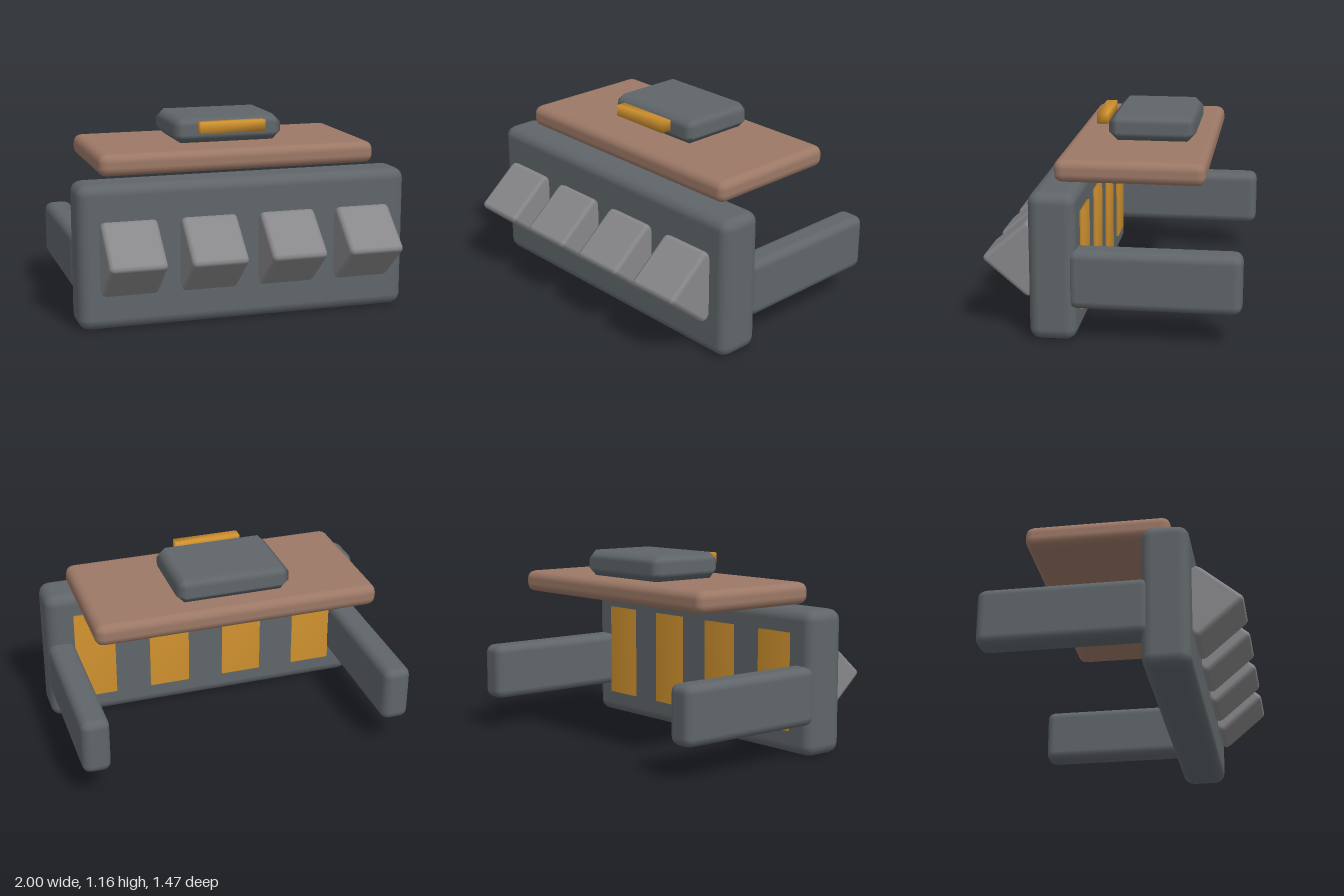
import * as THREE from 'three';
import { RoundedBoxGeometry } from 'three/addons/geometries/RoundedBoxGeometry.js';
import { mergeVertices } from 'three/addons/utils/BufferGeometryUtils.js';

const material = (name, color) => {
  const m = new THREE.MeshStandardMaterial({ color });
  m.name = name;
  return m;
};

// Box with straight chamfers: pull the rounded edges onto flat cuts.
function chamferedBox(w, h, d, r) {
  const geo = new RoundedBoxGeometry(w, h, d, 1, r);
  const p = geo.attributes.position;
  const v = new THREE.Vector3(), core = new THREE.Vector3();
  const inner = new THREE.Vector3(w / 2 - r, h / 2 - r, d / 2 - r);
  for (let i = 0; i < p.count; i++) {
    v.fromBufferAttribute(p, i);
    core.copy(v).clamp(inner.clone().negate(), inner);
    v.sub(core);
    const sum = Math.abs(v.x) + Math.abs(v.y) + Math.abs(v.z);
    if (sum > 0) v.multiplyScalar(r / sum);
    v.add(core);
    p.setXYZ(i, v.x, v.y, v.z);
  }
  return geo;
}

// Sharp box whose normals blend across its edges.
function softBox(w, h, d) {
  let geo = new THREE.BoxGeometry(w, h, d);
  geo.deleteAttribute('uv');
  geo.deleteAttribute('normal');
  geo = mergeVertices(geo);
  geo.computeVertexNormals();
  return geo;
}

export function createModel() {
  const model = new THREE.Group();
  model.name = 'model';

  const slate = material('slate', 0x5f6569);
  const steel = material('steel', 0x88888b);
  const brown = material('brown', 0x9c7866);
  const amber = material('amber', 0xd2932f);

  function add(name, geo, mat, x, y, z) {
    const mesh = new THREE.Mesh(geo, mat);
    mesh.name = name;
    mesh.position.set(x, y, z);
    model.add(mesh);
  }

  // Broad front plate
  add('frontPlate', new RoundedBoxGeometry(2, 0.85, 0.27, 2, 0.065), slate, 0, 0.425, 0.32);

  // Side arms reaching backwards
  const armGeo = new RoundedBoxGeometry(0.168, 0.34, 0.965, 2, 0.05);
  for (const s of [1, -1]) {
    add(s > 0 ? 'leftArm' : 'rightArm', armGeo, slate, s * 0.916, 0.36, -0.2475);
  }

  // Four wedge knuckles in front, four glowing panels behind
  const wedgeGeo = new RoundedBoxGeometry(0.335, 0.322, 0.322, 1, 0.026);
  wedgeGeo.rotateX(Math.PI / 4).scale(1, 1, 1.18);
  const panelGeo = softBox(0.25, 0.575, 0.03);
  [-0.71, -0.237, 0.237, 0.71].forEach((x, i) => {
    add('wedge' + (i + 1), wedgeGeo, steel, x, 0.428, 0.48);
    add('backPanel' + (i + 1), panelGeo, amber, x, 0.428, 0.185);
  });

  // Floating slab, raised block and light bar
  add('topSlab', new RoundedBoxGeometry(1.69, 0.13, 0.845, 2, 0.05), brown, 0, 0.935, -0.088);
  add('topBlock', chamferedBox(0.68, 0.155, 0.51, 0.05), slate, 0, 1.078, -0.155);
  add('lightBar', softBox(0.4, 0.066, 0.066), amber, 0, 1.107, 0.152);

  return model;
}
